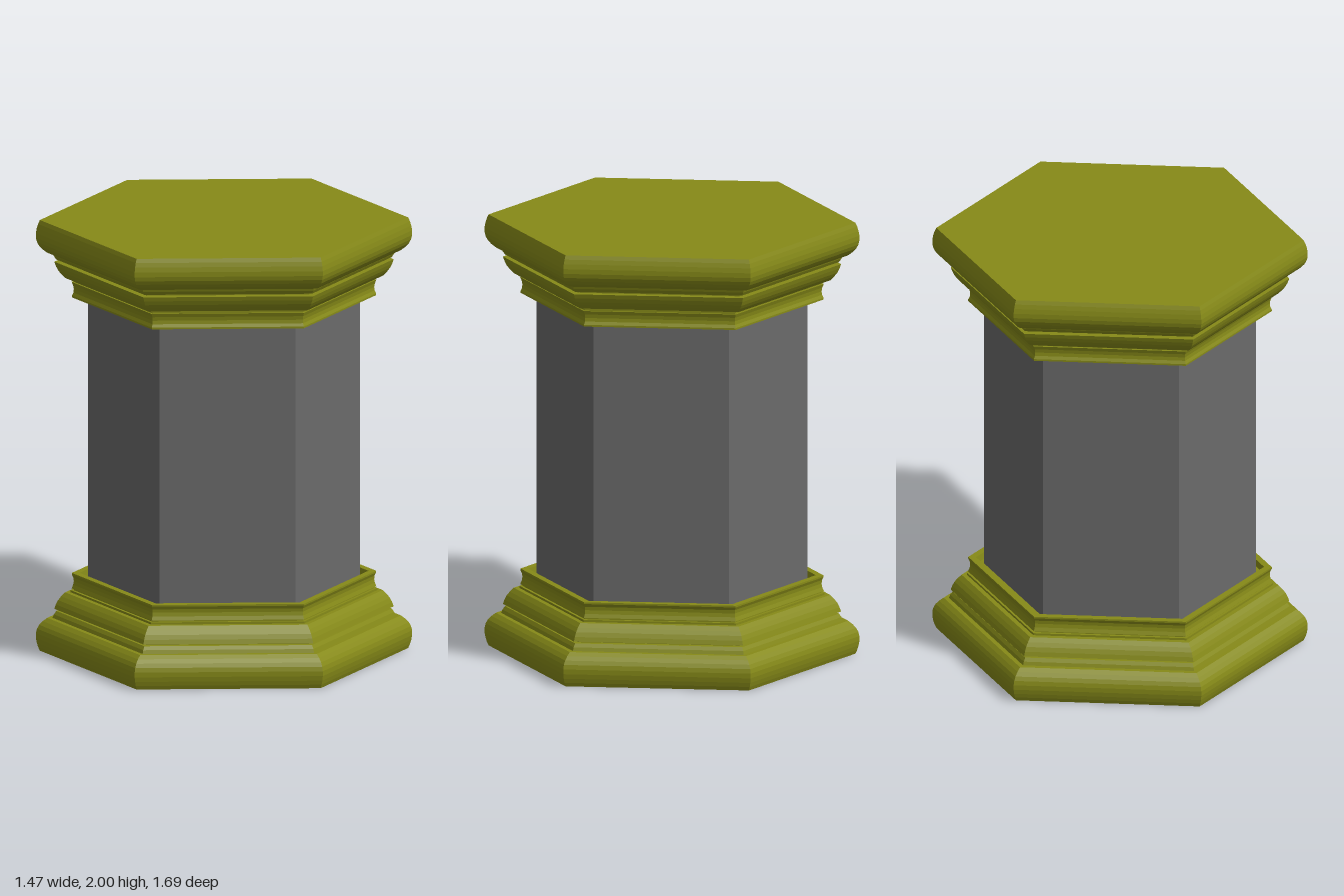
import * as THREE from 'three';

const SIDES = 6;

// Moulding outline as [corner radius, height], from the centre of its flat face to its recessed rim
const MOULDING = [
  [0, 0], [0.829, 0], [0.837, 0.018], [0.843, 0.038], [0.847, 0.06], [0.847, 0.082],
  [0.842, 0.102], [0.832, 0.12], [0.816, 0.137], [0.796, 0.152],
  [0.772, 0.152], [0.766, 0.168], [0.755, 0.184], [0.728, 0.184], [0.728, 0.194],
  [0.764, 0.194], [0.757, 0.214], [0.747, 0.234], [0.733, 0.252], [0.715, 0.27],
  [0.69, 0.27], [0.69, 0.28], [0.676, 0.28], [0.676, 0.288],
  [0.686, 0.288], [0.679, 0.305], [0.676, 0.322], [0.678, 0.338], [0.685, 0.352], [0.685, 0.36],
  [0.65, 0.36], [0.645, 0.33], [0.58, 0.33],
];

function moulding(name, material) {
  const points = MOULDING.map(([r, y]) => new THREE.Vector2(r, y));
  const mesh = new THREE.Mesh(new THREE.LatheGeometry(points, SIDES), material);
  mesh.name = name;
  return mesh;
}

export function createModel() {
  const group = new THREE.Group();
  group.name = 'hexagonalPedestal';

  const olive = new THREE.MeshStandardMaterial({ color: 0x868a18, flatShading: true });
  const darkStone = new THREE.MeshStandardMaterial({ color: 0x6a6a6a, flatShading: true });

  // Plain dark shaft, its ends set into the mouldings
  const shaft = new THREE.Mesh(new THREE.CylinderGeometry(0.613, 0.613, 1.4, SIDES), darkStone);
  shaft.name = 'shaft';
  shaft.position.y = 1;

  // Base, and the same moulding turned over as the cap
  const base = moulding('base', olive);
  const cap = moulding('cap', olive);
  cap.rotation.x = Math.PI;
  cap.position.y = 2;

  group.add(shaft, base, cap);
  return group;
}
